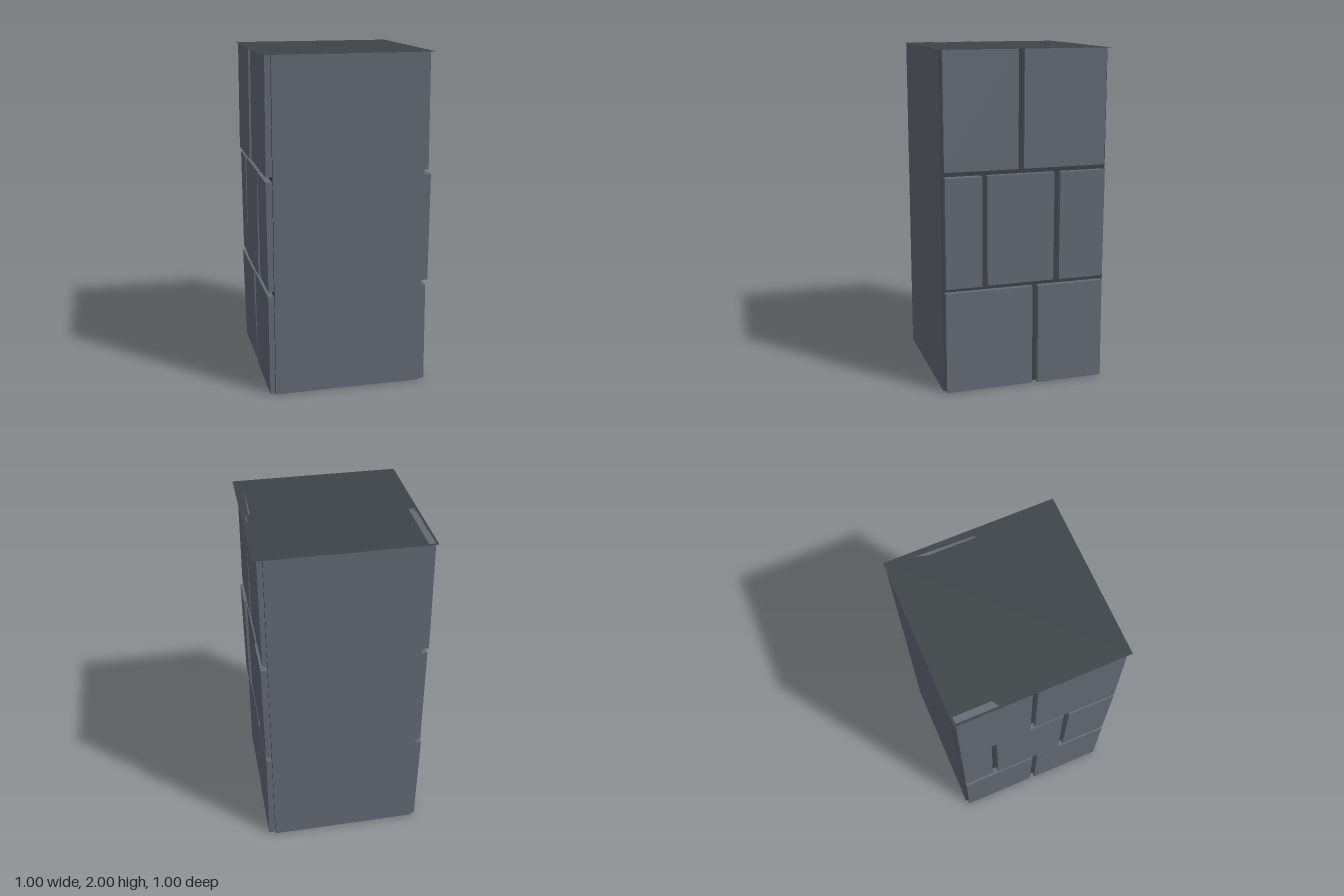
import * as THREE from 'three';

export function createModel() {
  const group = new THREE.Group();
  group.name = 'stonePillar';
  const stone = new THREE.MeshStandardMaterial({ color: 0x646a75, side: THREE.DoubleSide });
  stone.name = 'stone';
  const mortar = new THREE.MeshStandardMaterial({ color: 0x3d4347, side: THREE.DoubleSide });
  mortar.name = 'mortar';

  const CORE = 0.447; // half width of the core in x
  const EDGE = 0.485; // half length of a stone row in z
  const GAP = 0.034;

  const panel = (name, w, h, material, position, rx = 0, ry = 0) => {
    const mesh = new THREE.Mesh(new THREE.PlaneGeometry(w, h), material);
    mesh.name = name;
    mesh.position.set(...position);
    mesh.rotation.set(rx, ry, 0);
    group.add(mesh);
  };

  // Hollow core, open at the bottom, with an overhanging flat cap
  panel('frontWall', CORE * 2, 2, stone, [0, 1, 0.5]);
  panel('backWall', CORE * 2, 2, stone, [0, 1, -0.5], 0, Math.PI);
  panel('leftMortarWall', 1, 2, mortar, [CORE, 1, 0], 0, Math.PI / 2);
  panel('rightMortarWall', 1, 2, mortar, [-CORE, 1, 0], 0, -Math.PI / 2);
  panel('cap', 1, 1, mortar, [0, 2, 0], -Math.PI / 2);

  // A stone block whose outer face leans slightly: out = [bottom, top] reach in x
  const addStone = (name, side, y0, y1, z0, z1, out) => {
    const geometry = new THREE.BoxGeometry(1, y1 - y0, z1 - z0);
    const p = geometry.attributes.position;
    for (let i = 0; i < p.count; i++) {
      const outer = p.getX(i) * side > 0;
      p.setX(i, side * (outer ? out[p.getY(i) > 0 ? 1 : 0] : CORE));
    }
    geometry.translate(0, (y0 + y1) / 2, (z0 + z1) / 2);
    geometry.computeVertexNormals();
    const mesh = new THREE.Mesh(geometry, stone);
    mesh.name = name;
    group.add(mesh);
  };

  // Rows on both sides: heights, joints along z, and reach of each stone (back to front)
  const rows = [
    { side: 1, y: [0, 0.61], joints: [-0.06], out: [[0.486, 0.48], [0.482, 0.478]] },
    { side: 1, y: [0.64, 1.29], joints: [-0.19, 0.25], out: [[0.482, 0.486], [0.478, 0.48], [0.49, 0.494]] },
    { side: 1, y: [1.32, 2], joints: [0.03], out: [[0.475, 0.478], [0.479, 0.474]] },
    { side: -1, y: [0, 0.61], joints: [0], out: [[0.474, 0.487], [0.478, 0.482]] },
    { side: -1, y: [0.64, 1.29], joints: [-0.28, 0.18], out: [[0.48, 0.484], [0.486, 0.482], [0.479, 0.485]] },
    { side: -1, y: [1.32, 2], joints: [-0.04], out: [[0.491, 0.486], [0.484, 0.48]] },
  ];
  for (const { side, y, joints, out } of rows) {
    out.forEach((reach, i) => {
      const z0 = i === 0 ? -EDGE : joints[i - 1] + GAP / 2;
      const z1 = i === joints.length ? EDGE : joints[i] - GAP / 2;
      addStone(side > 0 ? 'leftStone' : 'rightStone', side, y[0], y[1], z0, z1, reach);
    });
  }
  return group;
}
